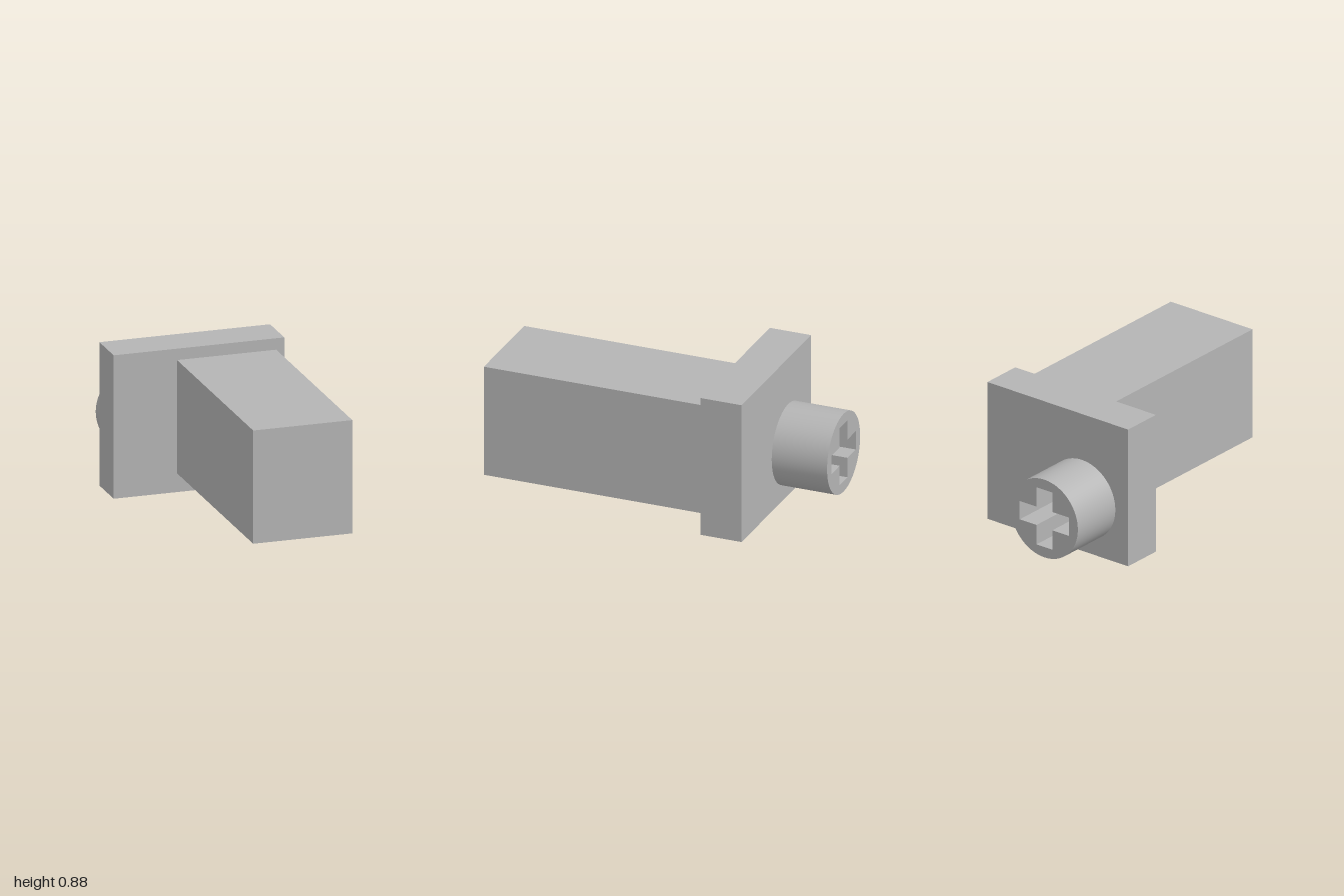
import * as THREE from 'three';
import { toCreasedNormals } from 'three/addons/utils/BufferGeometryUtils.js';

const grey = new THREE.MeshStandardMaterial({ color: 0xb4b4b4 });
grey.name = 'grey';

// Box given by its lower and upper corners
function box(name, min, max) {
  const size = max.map((v, i) => v - min[i]);
  const mesh = new THREE.Mesh(new THREE.BoxGeometry(...size), grey);
  mesh.name = name;
  mesh.position.set(...max.map((v, i) => (v + min[i]) / 2));
  return mesh;
}

// Closed cross outline: half length a, half arm width b
function crossPath(a, b) {
  const path = new THREE.Path();
  const points = [];
  for (let i = 0; i < 4; i++) {
    const turn = i * Math.PI / 2;
    for (const [x, y] of [[a, -b], [a, b], [b, b]]) {
      points.push(new THREE.Vector2(x, y).rotateAround(new THREE.Vector2(), turn));
    }
  }
  path.setFromPoints(points.reverse());
  path.closePath();
  return path;
}

export function createModel() {
  const model = new THREE.Group();
  model.name = 'keyedButton';

  // Long block and the flange behind it
  model.add(box('block', [-0.135, 0.115, -0.39], [0.475, 0.81, 1]));
  model.add(box('flange', [-0.525, 0, -0.65], [0.525, 0.88, -0.39]));

  // Round stem with a cross-shaped socket that ends at the flange
  const outline = new THREE.Shape();
  outline.absarc(0, 0, 0.25, 0, Math.PI * 2, false);
  outline.holes.push(crossPath(0.184, 0.059));
  const geometry = new THREE.ExtrudeGeometry(outline, { depth: 0.35, bevelEnabled: false, curveSegments: 32 });
  const stem = new THREE.Mesh(toCreasedNormals(geometry, 0.6), grey);
  stem.name = 'socketStem';
  stem.position.set(-0.18, 0.335, -1);
  model.add(stem);

  return model;
}
